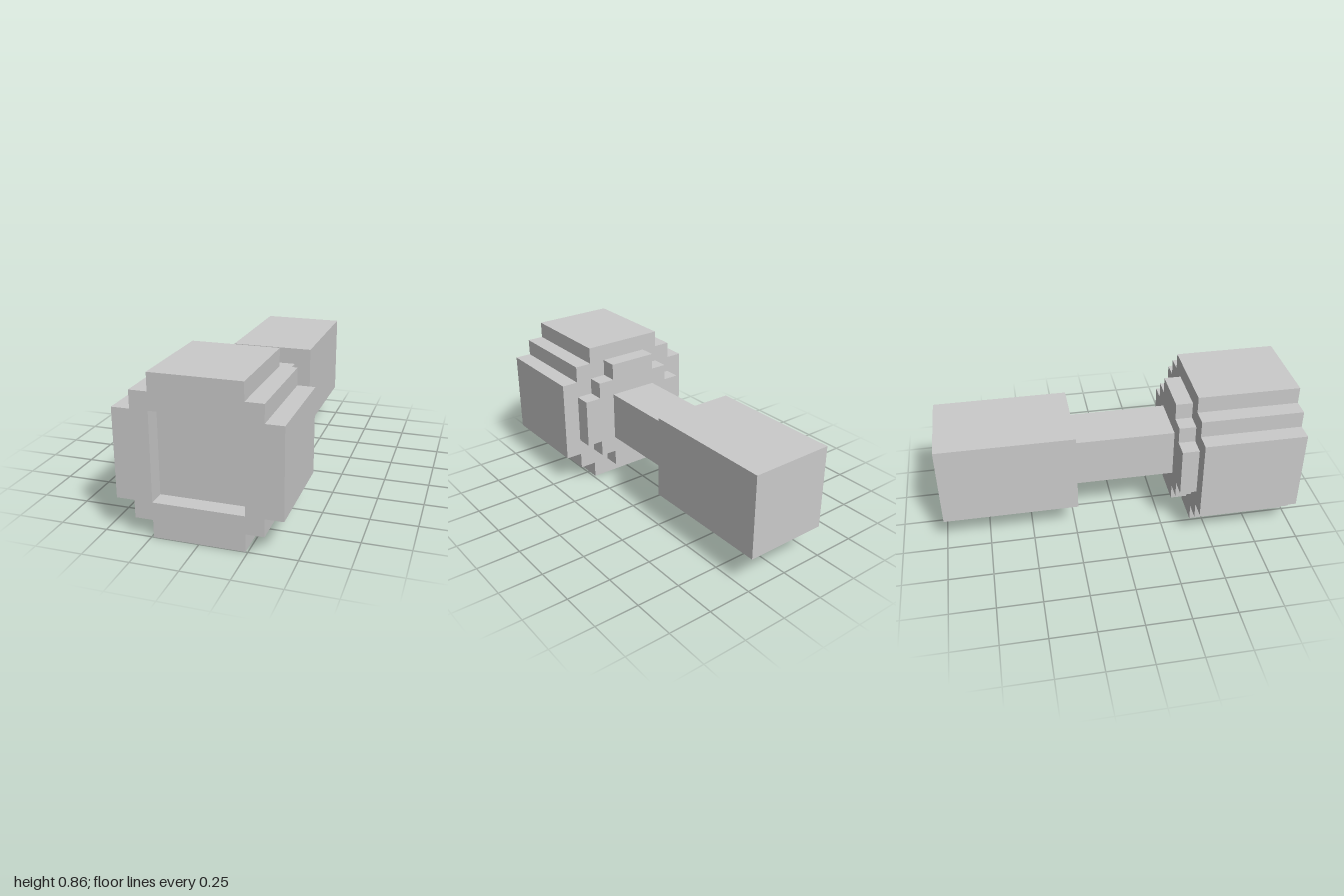
import * as THREE from 'three';

const U = 2 / 21; // one block unit
const material = new THREE.MeshStandardMaterial({ color: 0xcccccc, flatShading: true });

// Square outline, half-size r units, with two one-unit steps cut from each corner
function steppedPoints(r) {
  const corner = [[r, r - 2], [r - 1, r - 2], [r - 1, r - 1], [r - 2, r - 1], [r - 2, r]];
  const points = [];
  for (let q = 0; q < 4; q++) {
    for (const [x, y] of corner) {
      const [a, b] = [[x, y], [-y, x], [-x, -y], [y, -x]][q];
      points.push(new THREE.Vector2(a * U, b * U));
    }
  }
  return points;
}

function squarePoints(r) {
  return [[-r, -r], [r, -r], [r, r], [-r, r]].map(([x, y]) => new THREE.Vector2(x * U, y * U));
}

export function createModel() {
  const model = new THREE.Group();
  model.name = 'hammer';

  // Extrudes an outline from z0 to z1 (in units) around the central axis
  function addPart(name, points, z0, z1, hole) {
    const shape = new THREE.Shape(points);
    if (hole) shape.holes.push(new THREE.Path(hole));
    const geometry = new THREE.ExtrudeGeometry(shape, { depth: (z1 - z0) * U, bevelEnabled: false });
    const mesh = new THREE.Mesh(geometry, material);
    mesh.name = name;
    mesh.position.set(0, 4.5 * U, z0 * U);
    model.add(mesh);
  }

  addPart('grip', squarePoints(2.5), -10.5, -2.5);
  addPart('neck', squarePoints(1.5), -2.5, 3.5);
  addPart('collar', steppedPoints(3.5), 3.5, 4.5);
  addPart('head', steppedPoints(4.5), 4.5, 9.5);
  // Front rim around the shallow square recess
  addPart('headRim', steppedPoints(4.5), 9.5, 10.5, squarePoints(2.5));

  return model;
}
